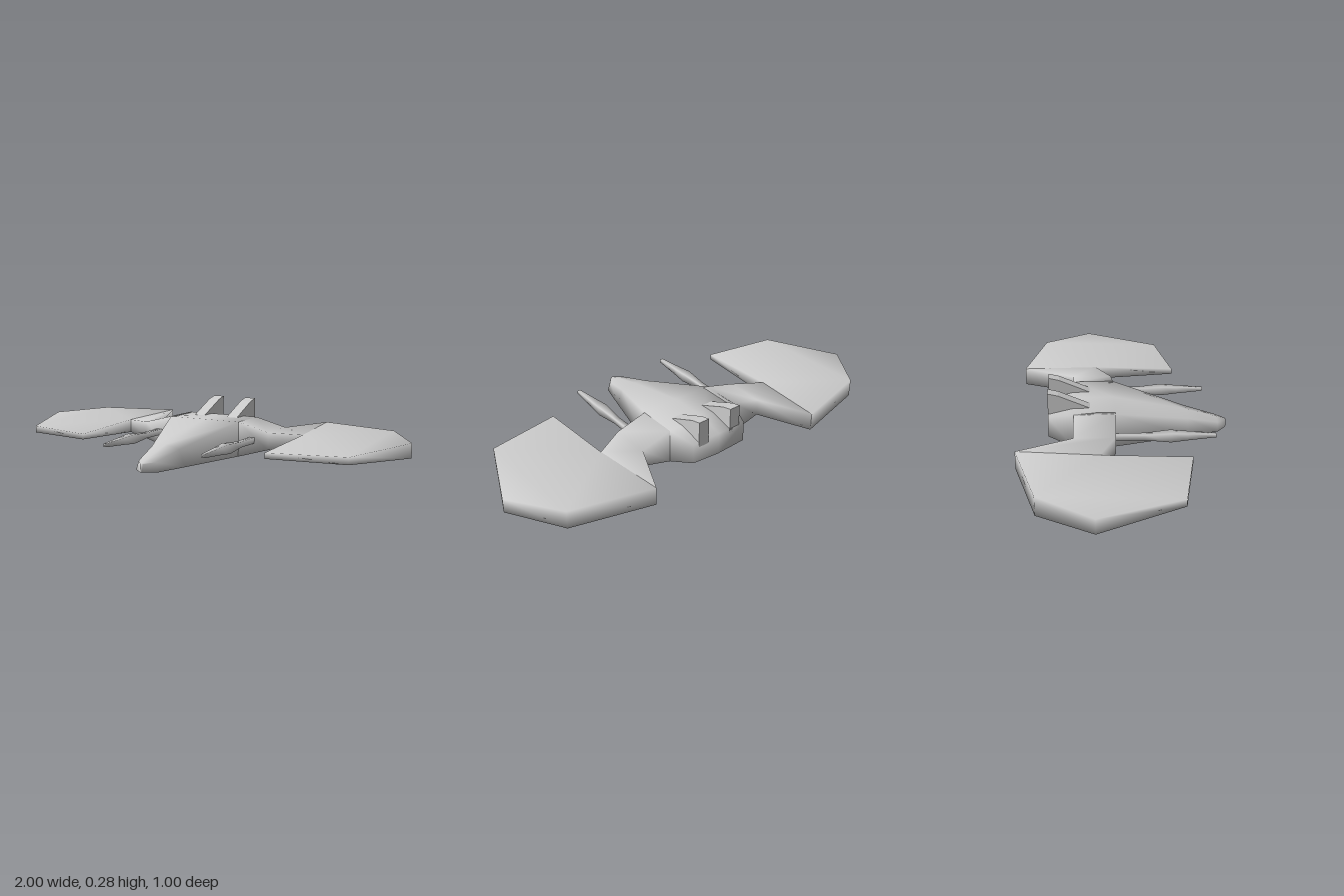
import * as THREE from 'three';
import { mergeVertices } from 'three/addons/utils/BufferGeometryUtils.js';

const material = new THREE.MeshStandardMaterial({ color: 0xcccccc });

// Closed skin through equal rings, each anticlockwise seen from the last ring's end
function loft(rings) {
  const n = rings[0].length;
  const last = (rings.length - 1) * n;
  const index = [];
  for (let i = 0; i < rings.length - 1; i++) {
    for (let j = 0; j < n; j++) {
      const k = (j + 1) % n;
      const a = i * n + j, b = i * n + k;
      index.push(a, b, b + n, a, b + n, a + n);
    }
  }
  for (let j = 1; j < n - 1; j++) {
    index.push(0, j + 1, j, last, last + j, last + j + 1);
  }
  const geometry = new THREE.BufferGeometry();
  geometry.setAttribute('position', new THREE.Float32BufferAttribute(rings.flat(2), 3));
  geometry.setIndex(index);
  geometry.computeVertexNormals();
  return geometry;
}

// Wing thickness grows from the front corner to the rear
function wingHeights(z) {
  const t = THREE.MathUtils.clamp((0.275 - z) / 0.635, 0, 1);
  return { top: 0.135 + 0.03 * t, bottom: 0.108 - 0.031 * t };
}

function wingGeometry(side) {
  const outline = [[0.46, -0.5], [0.84, -0.4], [1, -0.16], [0.845, 0.21], [0.49, 0.277], [0.49, -0.13]];
  const shape = new THREE.Shape(outline.map(([x, z]) => new THREE.Vector2(side * x, -z)));
  let geometry = new THREE.ExtrudeGeometry(shape, { depth: 1, bevelEnabled: false });
  geometry.rotateX(-Math.PI / 2);
  const p = geometry.attributes.position;
  for (let i = 0; i < p.count; i++) {
    const h = wingHeights(p.getZ(i));
    p.setY(i, p.getY(i) > 0.5 ? h.top : h.bottom);
  }
  geometry.deleteAttribute('normal');
  geometry.deleteAttribute('uv');
  geometry = mergeVertices(geometry);
  geometry.computeVertexNormals();
  return geometry;
}

// Tapered strut from the hull side to the wing root
function armGeometry(side) {
  const front = wingHeights(-0.13), rear = wingHeights(-0.5);
  // x, z, bottom and top of the front edge, then of the rear edge
  const stations = [
    [0.17, -0.05, 0.035, 0.203, 0.17, -0.245, 0.035, 0.203],
    [0.19, -0.05, 0.035, 0.203, 0.19, -0.245, 0.035, 0.203],
    [0.345, -0.055, 0.08, 0.163, 0.345, -0.248, 0.08, 0.163],
    [0.49, -0.13, front.bottom, front.top, 0.46, -0.5, rear.bottom, rear.top],
  ];
  const rings = stations.map(([fx, fz, fb, ft, rx, rz, rb, rt]) => [
    [side * fx, fb, fz], [side * rx, rb, rz], [side * rx, rt, rz], [side * fx, ft, fz],
  ]);
  return loft(side > 0 ? rings : rings.reverse());
}

// Square barrel that swells in the middle
function gunGeometry(x) {
  const y = 0.12;
  const profile = [[-0.08, 0.014], [0.08, 0.013], [0.2, 0.022], [0.28, 0.016], [0.41, 0.008]];
  return loft(profile.map(([z, r]) => [
    [x - r, y - r, z], [x + r, y - r, z], [x + r, y + r, z], [x - r, y + r, z],
  ]));
}

function finGeometry(x) {
  const profile = [[-0.365, 0.15], [-0.16, 0.15], [-0.16, 0.2], [-0.315, 0.268], [-0.365, 0.28]];
  const shape = new THREE.Shape(profile.map(([z, y]) => new THREE.Vector2(-z, y)));
  const geometry = new THREE.ExtrudeGeometry(shape, { depth: 0.056, bevelEnabled: false });
  geometry.rotateY(Math.PI / 2); // shape x runs to the rear, depth runs along x
  geometry.translate(x - 0.028, 0, 0);
  return geometry;
}

function hullGeometry() {
  // z, upper half width, ridge height, shoulder height, lower half width, lower height, keel
  const stations = [
    [-0.365, 0.15, 0.175, 0.175, 0.15, 0.075, 0.065],
    [-0.245, 0.19, 0.203, 0.203, 0.19, 0.035, 0],
    [-0.05, 0.19, 0.203, 0.203, 0.19, 0.035, 0],
    [0.3, 0.075, 0.13, 0.115, 0.1, 0.035, 0.033],
    [0.45, 0.045, 0.088, 0.078, 0.06, 0.035, 0.035],
    [0.495, 0.008, 0.075, 0.073, 0.01, 0.036, 0.035],
  ];
  return loft(stations.map(([z, uw, ridge, shoulder, lw, low, keel]) => [
    [0, keel, z], [lw, low, z], [uw, shoulder, z], [0, ridge, z], [-uw, shoulder, z], [-lw, low, z],
  ]));
}

export function createModel() {
  const model = new THREE.Group();
  model.name = 'spacecraft';
  const add = (name, geometry) => {
    const mesh = new THREE.Mesh(geometry, material);
    mesh.name = name;
    model.add(mesh);
  };
  add('hull', hullGeometry());
  for (const [label, side] of [['left', 1], ['right', -1]]) {
    add(label + 'Wing', wingGeometry(side));
    add(label + 'Arm', armGeometry(side));
    add(label + 'Gun', gunGeometry(side * 0.26));
    add(label + 'Fin', finGeometry(side * 0.091));
  }
  return model;
}
